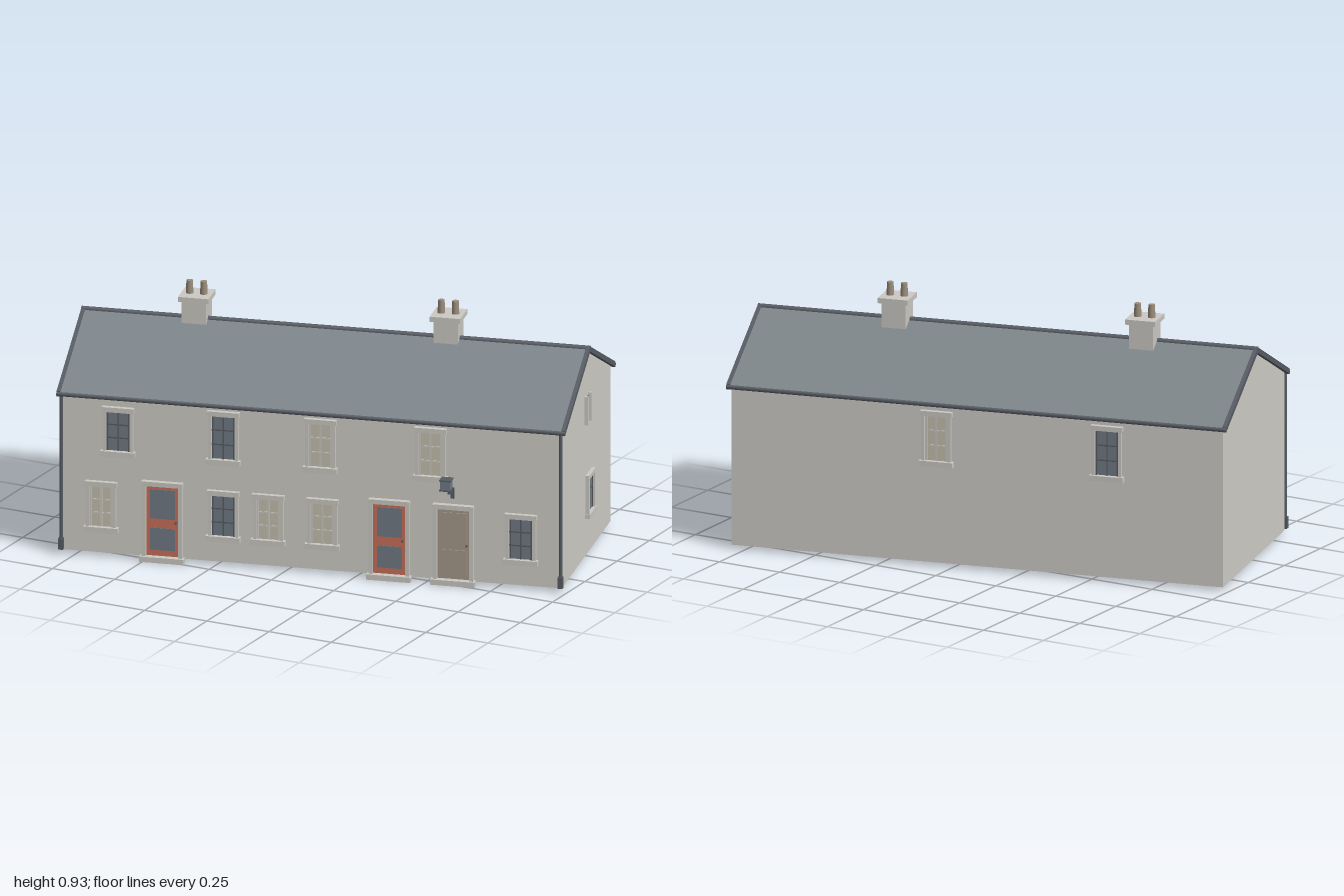
import * as THREE from 'three';

const mat = (name, color, extra = {}) => new THREE.MeshStandardMaterial({ name, color, ...extra });

export function createModel() {
  const wallMat = mat('render', 0xcfcdc7, { side: THREE.DoubleSide });
  const stone = mat('stone', 0xcbc9c3);
  const slate = mat('slate', 0x7d858a);
  const iron = mat('darkTrim', 0x575c64);
  const glass = mat('glass', 0x727a84);
  const cream = mat('cream', 0xc6c0ae);
  const red = mat('redPaint', 0xc96f5a);
  const brown = mat('brownPaint', 0xa6998a);
  const clay = mat('clay', 0x9a8d7c);

  const model = new THREE.Group();
  model.name = 'terracedHouse';
  const house = new THREE.Group();
  house.name = 'house';
  house.rotation.y = THREE.MathUtils.degToRad(14);
  model.add(house);

  const A = 0.917, B = 0.375, Y0 = 0.015, EAVE = 0.604, APEX = 0.79;

  const add = (parent, name, geo, material, x = 0, y = 0, z = 0) => {
    const m = new THREE.Mesh(geo, material);
    m.name = name;
    m.position.set(x, y, z);
    parent.add(m);
    return m;
  };
  // box given by its centre in x, its y range and its z range
  const block = (parent, name, material, x, w, y0, y1, z0, z1) =>
    add(parent, name, new THREE.BoxGeometry(w, y1 - y0, z1 - z0), material, x, (y0 + y1) / 2, (z0 + z1) / 2);

  // Walls, open underneath
  const gable = new THREE.Shape([[-B, Y0], [B, Y0], [B, EAVE], [0, APEX], [-B, EAVE]].map(p => new THREE.Vector2(...p)));
  for (const s of [1, -1]) {
    add(house, 'gableWall', new THREE.ShapeGeometry(gable), wallMat, s * A).rotation.y = s * Math.PI / 2;
    const w = add(house, 'longWall', new THREE.PlaneGeometry(2 * A, EAVE - Y0), wallMat, 0, (EAVE + Y0) / 2, s * B);
    if (s < 0) w.rotation.y = Math.PI;
  }

  // Chevron slab running along x, used for slates and verge boards
  const chevron = (name, material, length, x, lift, thick) => {
    const half = 0.387, e = 0.612 + lift, r = 0.8 + lift;
    const shape = new THREE.Shape([[half, e], [0, r], [-half, e], [-half, e - thick], [0, r - thick], [half, e - thick]]
      .map(p => new THREE.Vector2(...p)));
    const geo = new THREE.ExtrudeGeometry(shape, { depth: length, bevelEnabled: false });
    geo.translate(0, 0, -length / 2).rotateY(Math.PI / 2);
    return add(house, name, geo, material, x);
  };
  chevron('roof', slate, 1.85, 0, 0, 0.01);
  for (const s of [1, -1]) chevron('vergeBoard', iron, 0.014, s * 0.9255, 0.003, 0.02);
  const ridge = add(house, 'ridgeTiles', new THREE.CylinderGeometry(0.011, 0.011, 1.865, 8), iron, 0, 0.795);
  ridge.rotation.z = Math.PI / 2;

  // Gutters, and downpipes at the front corners
  for (const s of [1, -1]) {
    const g = add(house, 'gutter', new THREE.CylinderGeometry(0.009, 0.009, 1.865, 8), iron, 0, 0.604, s * 0.384);
    g.rotation.z = Math.PI / 2;
    add(house, 'downpipe', new THREE.CylinderGeometry(0.007, 0.007, 0.58, 8), iron, s * 0.916, 0.31, 0.384);
    block(house, 'downpipeShoe', iron, s * 0.916, 0.018, 0.02, 0.062, 0.377, 0.397);
  }

  // Chimneys with two pots each
  for (const x of [-0.513, 0.41]) {
    const c = new THREE.Group();
    c.name = 'chimney';
    c.position.set(x, 0, -0.01);
    house.add(c);
    block(c, 'chimneyStack', stone, 0, 0.09, 0.772, 0.865, -0.045, 0.045);
    block(c, 'chimneyCap', stone, 0, 0.112, 0.865, 0.884, -0.056, 0.056);
    for (const s of [1, -1])
      add(c, 'chimneyPot', new THREE.CylinderGeometry(0.012, 0.014, 0.05, 12), clay, s * 0.026, 0.907);
  }

  // One facade group per wall, with z pointing outwards
  const facade = (name, x, z, turn) => {
    const g = new THREE.Group();
    g.name = name;
    g.position.set(x, 0, z);
    g.rotation.y = turn;
    house.add(g);
    return g;
  };
  const front = facade('frontFacade', 0, B, 0);
  const back = facade('backFacade', 0, -B, Math.PI);
  const side = facade('leftGable', A, 0, Math.PI / 2);

  const opening = (parent, name, x) => {
    const g = new THREE.Group();
    g.name = name;
    g.position.x = x;
    parent.add(g);
    return g;
  };

  // Window between sill bottom y0 and lintel top y1; light windows have pale panes outside
  const windowAt = (parent, x, y0, y1, light) => {
    const g = opening(parent, 'window', x);
    const a = y0 + 0.02, b = y1 - 0.018, w = 0.086;
    block(g, 'pane', light ? cream : glass, 0, w, a, b, 0.001, 0.004);
    block(g, 'innerPane', light ? glass : cream, 0, w, a, b, -0.004, -0.001);
    const bar = light ? stone : iron;
    block(g, 'glazingBar', bar, 0, light ? 0.007 : 0.004, a, b, 0.004, 0.008);
    for (const s of [1, -1]) {
      block(g, 'sashStile', bar, s * (w / 2 - 0.004), light ? 0.008 : 0.005, a, b, 0.004, 0.008);
      block(g, 'jamb', stone, s * (w / 2 + 0.006), 0.012, a, b, 0, 0.015);
    }
    for (const t of [1 / 3, 2 / 3]) {
      const y = a + (b - a) * t;
      block(g, 'glazingBar', bar, 0, w, y - 0.0025, y + 0.0025, 0.004, 0.007);
    }
    block(g, 'sill', stone, 0, 0.126, y0, a, 0, 0.022);
    block(g, 'lintel', stone, 0, 0.118, b, y1, 0, 0.018);
  };
  [[-0.708, 0.385, 0.57, 0], [-0.322, 0.385, 0.585, 0], [0.034, 0.385, 0.585, 1], [0.438, 0.385, 0.585, 1],
    [-0.77, 0.095, 0.285, 1], [-0.322, 0.095, 0.285, 0], [-0.157, 0.095, 0.285, 1], [0.042, 0.095, 0.285, 1],
    [0.769, 0.095, 0.285, 0]].forEach(([x, y0, y1, l]) => windowAt(front, x, y0, y1, l));
  windowAt(back, -0.15, 0.375, 0.58, true);
  windowAt(back, 0.486, 0.375, 0.58, false);

  // Doors: glazed red ones and a boarded brown one
  const doorAt = (x, paint, glazed) => {
    const g = opening(front, 'door', x);
    const w = 0.12;
    block(g, 'doorLeaf', paint, 0, w, 0.02, 0.285, -0.004, 0.004);
    if (glazed) {
      block(g, 'upperPanel', glass, 0, w - 0.028, 0.16, 0.27, 0.004, 0.006);
      block(g, 'lowerPanel', glass, 0, w - 0.028, 0.042, 0.125, 0.004, 0.006);
    } else {
      for (const [a, b] of [[0.04, 0.13], [0.16, 0.27]])
        for (const s of [1, -1]) block(g, 'raisedPanel', paint, s * 0.027, 0.042, a, b, 0.004, 0.007);
    }
    block(g, 'doorKnob', iron, 0.048, 0.007, 0.145, 0.153, 0.004, 0.012);
    for (const s of [1, -1]) block(g, 'doorJamb', stone, s * (w / 2 + 0.007), 0.014, 0.02, 0.285, 0, 0.018);
    block(g, 'doorLintel', stone, 0, 0.15, 0.285, 0.302, 0, 0.021);
    block(g, 'doorStep', stone, 0, 0.162, 0, 0.02, 0, 0.028);
  };
  doorAt(-0.545, red, true);
  doorAt(0.287, red, true);
  doorAt(0.522, brown, false);

  // Gable windows
  const up = opening(side, 'upperGableWindow', 0.005);
  block(up, 'pane', glass, 0, 0.044, 0.522, 0.61, -0.004, 0.004);
  for (const s of [1, -1]) block(up, 'jamb', stone, s * 0.026, 0.009, 0.513, 0.62, 0, 0.014);
  const low = opening(side, 'lowerGableWindow', 0.04);
  block(low, 'pane', glass, 0, 0.076, 0.172, 0.3, -0.004, 0.004);
  block(low, 'blind', cream, 0, 0.076, 0.29, 0.302, 0.004, 0.007);
  block(low, 'meetingRail', iron, 0, 0.076, 0.253, 0.257, 0.004, 0.007);
  for (const s of [1, -1]) {
    block(low, 'sashStile', iron, s * 0.036, 0.004, 0.172, 0.3, 0.004, 0.007);
    block(low, 'jamb', stone, s * 0.044, 0.012, 0.172, 0.302, 0, 0.014);
  }
  block(low, 'sill', stone, 0, 0.106, 0.155, 0.172, 0, 0.018);
  block(low, 'lintel', stone, 0, 0.1, 0.302, 0.316, 0, 0.014);

  // Wall lamp on its bracket
  const lamp = opening(front, 'wallLamp', 0.502);
  block(lamp, 'lampGlass', glass, 0, 0.036, 0.37, 0.402, 0.017, 0.053);
  block(lamp, 'lampCap', iron, 0, 0.042, 0.402, 0.407, 0.014, 0.056);
  block(lamp, 'lampBase', iron, 0, 0.042, 0.365, 0.37, 0.014, 0.056);
  block(lamp, 'lampArm', iron, 0.012, 0.01, 0.352, 0.365, 0, 0.045);
  block(lamp, 'lampBracket', iron, 0.016, 0.014, 0.325, 0.365, 0, 0.01);

  return model;
}
